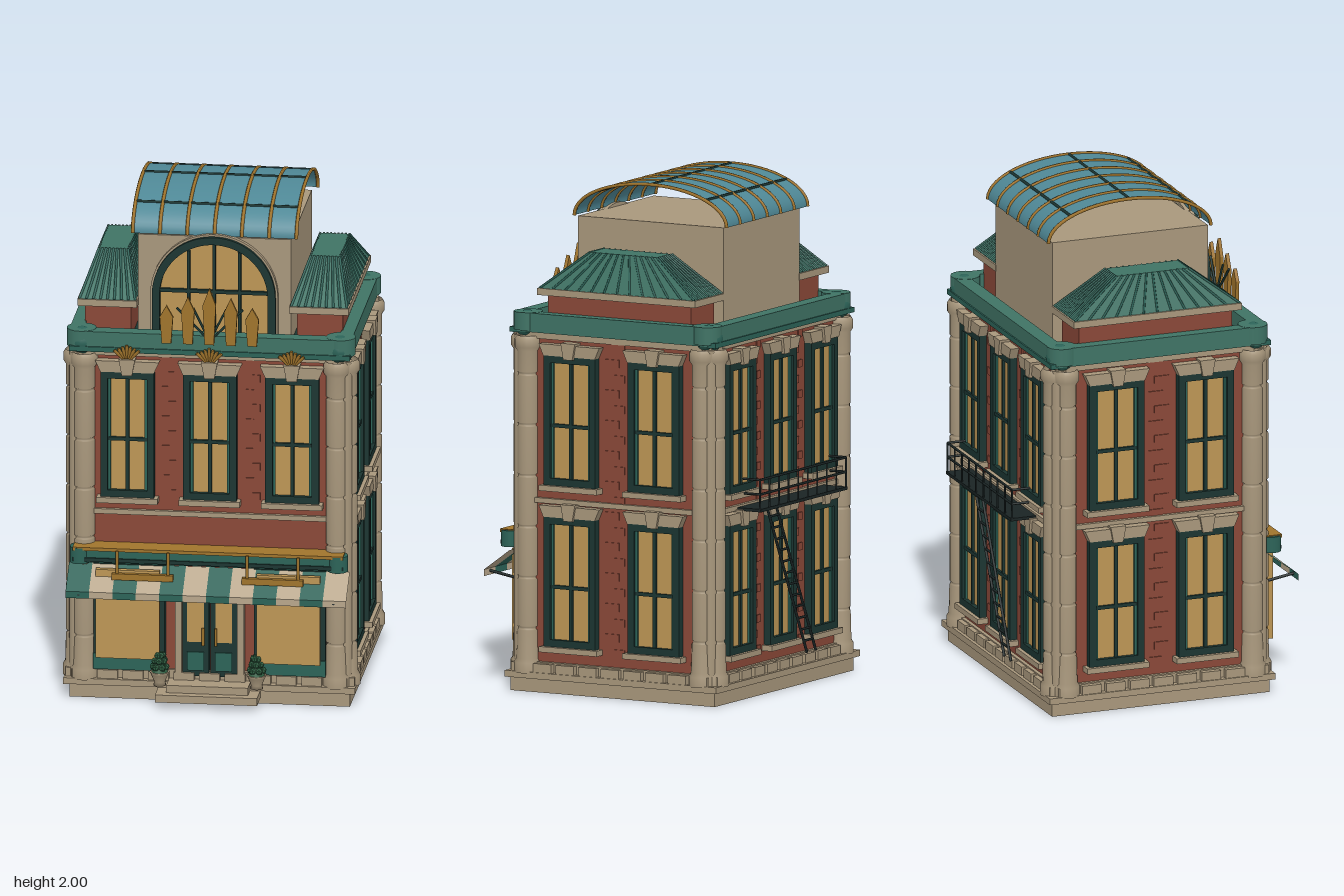
import * as THREE from 'three';

const C = { brick: 0x8a4838, stone: 0xa8977c, gold: 0xa0742c, pane: 0xbd9655, green: 0x2c6358, dark: 0x1b3531,
  roof: 0x3f7365, glass: 0x4f8896, cream: 0xb8a78c, iron: 0x1a2424, leaf: 0x2f5f42 };
const mats = {};
const mat = (c) => (mats[c] ??= new THREE.MeshStandardMaterial({ color: C[c], side: THREE.DoubleSide }));
const V = (x, y, z) => new THREE.Vector3(x, y, z);
const ZC = -0.015; // middle of the building in z

function add(parent, name, geo, color, x = 0, y = 0, z = 0) {
  const m = new THREE.Mesh(geo, mat(color));
  m.name = name;
  m.position.set(x, y, z);
  parent.add(m);
  return m;
}
function group(parent, name, x = 0, y = 0, z = 0, ry = 0) {
  const g = new THREE.Group();
  g.name = name;
  g.position.set(x, y, z);
  g.rotation.y = ry;
  parent.add(g);
  return g;
}
// box given by its limits
const box = (p, name, color, x0, x1, y0, y1, z0, z1) =>
  add(p, name, new THREE.BoxGeometry(x1 - x0, y1 - y0, z1 - z0), color, (x0 + x1) / 2, (y0 + y1) / 2, (z0 + z1) / 2);
// round bar between two points
function bar(p, name, color, a, b, r, sides = 6) {
  const d = b.clone().sub(a);
  const m = add(p, name, new THREE.CylinderGeometry(r, r, d.length(), sides), color);
  m.position.copy(a).add(b).multiplyScalar(0.5);
  m.quaternion.setFromUnitVectors(V(0, 1, 0), d.normalize());
  return m;
}
function extrude(pts, depth) {
  return new THREE.ExtrudeGeometry(new THREE.Shape(pts.map(([x, y]) => new THREE.Vector2(x, y))), { depth, bevelEnabled: false });
}

// sash window with sill, lintel and keystone, facing +z, origin at frame bottom
function sashWindow(p, x, y, z, ry, w) {
  const g = group(p, 'window', x, y, z, ry), h = 0.51, t = 0.028, a = w / 2;
  box(g, 'windowPane', 'pane', -a + t, a - t, t, h - t, 0, 0.012);
  for (const s of [-1, 1]) {
    box(g, 'frameSide', 'dark', s * (a - t / 2) - t / 2, s * (a - t / 2) + t / 2, 0, h, 0, 0.03);
    box(g, 'frameInner', 'green', s * (a - t - 0.006) - 0.005, s * (a - t - 0.006) + 0.005, t, h - t, 0, 0.02);
  }
  for (const yy of [t / 2, h - t / 2]) box(g, 'frameRail', 'dark', -a, a, yy - t / 2, yy + t / 2, 0, 0.03);
  box(g, 'mullion', 'dark', -0.007, 0.007, t, h - t, 0, 0.022);
  box(g, 'meetingRail', 'dark', -a + t, a - t, 0.228, 0.242, 0, 0.022);
  box(g, 'sill', 'stone', -a - 0.015, a + 0.015, -0.022, 0, 0, 0.045);
  add(g, 'lintel', extrude([[-a, h], [a, h], [a + 0.02, h + 0.045], [-a - 0.02, h + 0.045]], 0.035), 'stone');
  add(g, 'keystone', extrude([[-0.02, h - 0.01], [0.02, h - 0.01], [0.032, h + 0.055], [-0.032, h + 0.055]], 0.045), 'stone');
}

// round corner shaft with drum joints, base and capital
function column(p, x, z) {
  const pts = [[0.055, 0.075], [0.055, 0.115], [0.046, 0.13]];
  for (let y = 0.25; y < 1.3; y += 0.2) pts.push([0.043, y - 0.008], [0.038, y - 0.004], [0.038, y + 0.004], [0.043, y + 0.008]);
  pts.push([0.043, 1.34], [0.053, 1.355], [0.053, 1.385], [0.044, 1.4]);
  add(p, 'column', new THREE.LatheGeometry(pts.map(([r, y]) => new THREE.Vector2(r, y)), 16), 'stone', x, 0, z);
}

function buildShell(p) {
  box(p, 'plinth', 'stone', -0.55, 0.55, 0, 0.055, -0.47, 0.44);
  box(p, 'plinthLip', 'stone', -0.572, 0.572, 0.055, 0.08, -0.488, 0.455);
  box(p, 'footing', 'stone', -0.545, 0.545, 0.08, 0.12, -0.455, 0.425);
  for (let i = 0; i < 11; i++) for (const z of [-0.46, 0.43])
    box(p, 'footingBlock', 'stone', -0.54 + i * 0.1, -0.46 + i * 0.1, 0.08, 0.115, z - 0.015, z + 0.015);
  for (let i = 0; i < 9; i++) for (const x of [-0.552, 0.552])
    box(p, 'footingBlock', 'stone', x - 0.015, x + 0.015, 0.08, 0.115, -0.45 + i * 0.1, -0.37 + i * 0.1);
  box(p, 'walls', 'brick', -0.53, 0.53, 0.1, 1.41, -0.44, 0.41);
  // raised bricks in staggered courses
  for (let i = 0; i < 21; i++) {
    const y = 0.16 + i * 0.06, o = (i % 2) * 0.025;
    for (const x of [-0.19, 0.14]) {
      if (y > 0.8) box(p, 'brickCourse', 'brick', x + o, x + o + 0.03, y, y + 0.03, 0.4, 0.415);
      box(p, 'brickCourse', 'brick', x + o, x + o + 0.03, y, y + 0.03, -0.445, -0.43);
    }
    for (const s of [-1, 1]) box(p, 'brickCourse', 'brick', s * 0.53 - 0.005, s * 0.53 + 0.005, y, y + 0.03, -0.06 + o, o);
  }
  box(p, 'beltCourse', 'stone', -0.545, 0.545, 0.745, 0.765, -0.455, 0.425);
  box(p, 'frieze', 'stone', -0.54, 0.54, 1.39, 1.42, -0.45, 0.42);
  for (const sx of [-1, 1]) for (const sz of [-1, 1]) {
    column(p, sx * 0.495, ZC + sz * 0.425);
    column(p, sx * 0.528, ZC + sz * 0.39);
    add(p, 'cornerPier', new THREE.CylinderGeometry(0.03, 0.03, 1.3, 12), 'stone', sx * 0.525, 0.75, ZC + sz * 0.42);
    add(p, 'corniceKnob', new THREE.SphereGeometry(0.055, 16, 10), 'green', sx * 0.505, 1.44, ZC + sz * 0.405);
    add(p, 'corniceCorner', new THREE.CylinderGeometry(0.058, 0.058, 0.07, 16), 'roof', sx * 0.508, 1.456, ZC + sz * 0.4);
  }
  for (const y of [0.185, 0.82]) {
    for (const s of [-1, 1]) for (const z of [0.172, -0.202]) sashWindow(p, s * 0.53, y, z, s * Math.PI / 2, 0.23);
    for (const x of [-0.323, 0, 0.323]) {
      sashWindow(p, x, y, -0.44, Math.PI, 0.21);
      if (y > 0.5) sashWindow(p, x, y, 0.41, 0, 0.21);
    }
  }
  // cornice ring around a sunken roof deck
  for (const s of [-1, 1]) {
    box(p, 'corniceEnd', 'roof', s * 0.527 - 0.027, s * 0.527 + 0.027, 1.415, 1.49, -0.44, 0.41);
    box(p, 'corniceLong', 'roof', -0.52, 0.52, 1.415, 1.49, ZC + s * 0.424 - 0.03, ZC + s * 0.424 + 0.03);
    box(p, 'corniceLip', 'green', -0.55, 0.55, 1.41, 1.43, ZC + s * 0.44 - 0.02, ZC + s * 0.44 + 0.02);
  }
  box(p, 'roofDeck', 'dark', -0.52, 0.52, 1.41, 1.43, -0.43, 0.4);
}

function buildShopFront(p) {
  for (const s of [-1, 1]) {
    const g = group(p, 'shopWindow', s * 0.315);
    box(g, 'shopWindowBase', 'green', -0.14, 0.14, 0.12, 0.185, 0.4, 0.452);
    box(g, 'shopWindowFrame', 'dark', -0.14, 0.14, 0.185, 0.55, 0.4, 0.448);
    box(g, 'shopWindowPane', 'pane', -0.125, 0.125, 0.18, 0.54, 0.475, 0.497);
    box(g, 'lampBar', 'gold', -0.18, 0.06, 0.505, 0.53, 0.495, 0.515).position.x = -s * 0.06;
    for (const x of [-0.1, 0.1]) bar(g, 'lampHanger', 'gold', V(x - s * 0.06, 0.53, 0.505), V(x - s * 0.06, 0.62, 0.505), 0.006);
    // door leaf
    const d = group(p, 'doorLeaf', s * 0.055);
    box(d, 'doorPanel', 'dark', -0.052, 0.052, 0.1, 0.44, 0.41, 0.435);
    box(d, 'doorGlass', 'pane', -0.033, 0.033, 0.24, 0.42, 0.43, 0.438);
    box(d, 'doorKickPanel', 'green', -0.033, 0.033, 0.125, 0.2, 0.43, 0.442);
    bar(d, 'doorHandle', 'gold', V(-s * 0.03, 0.23, 0.448), V(-s * 0.03, 0.3, 0.448), 0.006);
    box(p, 'doorJamb', 'stone', s * 0.122 - 0.013, s * 0.122 + 0.013, 0.1, 0.47, 0.4, 0.445);
    // potted shrub
    const t = group(p, 'pottedShrub', s * 0.19, 0, 0.485);
    const pot = [[0, 0.075], [0.025, 0.075], [0.022, 0.09], [0.034, 0.12], [0.04, 0.13], [0.034, 0.13], [0, 0.125]];
    add(t, 'pot', new THREE.LatheGeometry(pot.map(([r, y]) => new THREE.Vector2(r, y)), 14), 'stone');
    [[0.036, 0.15], [0.029, 0.175], [0.018, 0.197]].forEach(([r, y], k) => {
      for (let i = 0; i < 6; i++) {
        const a = i * Math.PI / 3 + k * 0.5;
        add(t, 'leafTuft', new THREE.IcosahedronGeometry(0.015, 0), 'leaf', Math.cos(a) * r * 0.7, y, Math.sin(a) * r * 0.7);
      }
    });
    add(t, 'shrubCore', new THREE.ConeGeometry(0.034, 0.09, 8), 'leaf', 0, 0.17, 0);
    bar(p, 'awningArm', 'iron', V(s * 0.5, 0.435, 0.44), V(s * 0.5, 0.455, 0.56), 0.006);
  }
  box(p, 'lowerStep', 'stone', -0.2, 0.2, 0.025, 0.055, 0.42, 0.555);
  box(p, 'upperStep', 'stone', -0.16, 0.16, 0.055, 0.085, 0.42, 0.52);
  // striped awning with a short valance
  const slope = Math.hypot(0.085, 0.115), w = 1.1 / 12;
  for (let i = 0; i < 12; i++) {
    const x = -0.55 + (i + 0.5) * w, c = i % 2 ? 'cream' : 'green';
    add(p, 'awningStripe', new THREE.PlaneGeometry(w, slope), c, x, 0.5075, 0.5025).rotation.x = -Math.atan2(0.115, 0.085);
    add(p, 'awningValance', new THREE.PlaneGeometry(w, 0.027), c, x, 0.4525, 0.56);
  }
  // fascia with a gilded top
  box(p, 'fascia', 'green', -0.52, 0.52, 0.565, 0.615, 0.41, 0.49);
  box(p, 'fasciaTop', 'gold', -0.53, 0.53, 0.615, 0.628, 0.41, 0.5);
  box(p, 'fasciaMoulding', 'dark', -0.53, 0.53, 0.57, 0.585, 0.41, 0.497);
  for (const s of [-1, 1]) add(p, 'fasciaEnd', new THREE.CylinderGeometry(0.04, 0.04, 0.064, 16), 'green', s * 0.505, 0.592, 0.463);
}

function archShape(a, y0, ys) {
  const s = new THREE.Shape();
  s.moveTo(-a, y0).lineTo(a, y0).lineTo(a, ys).absarc(0, ys, a, 0, Math.PI, false).lineTo(-a, y0);
  return s;
}
function arch(p, name, color, a, b, z, depth) {
  const s = archShape(a, 1.43, 1.61);
  if (b) s.holes.push(archShape(b, 1.44, 1.61));
  add(p, name, new THREE.ExtrudeGeometry(s, { depth, bevelEnabled: false, curveSegments: 24 }), color, 0, 0, z);
}

function buildRoof(p) {
  box(p, 'atticBlock', 'stone', -0.3, 0.3, 1.42, 1.845, -0.37, 0.28);
  arch(p, 'archSurround', 'stone', 0.25, 0.235, 0.27, 0.03);
  arch(p, 'archFrame', 'dark', 0.242, 0.212, 0.27, 0.045);
  arch(p, 'archPane', 'pane', 0.22, 0, 0.27, 0.02);
  for (const [x, top] of [[-0.1, 1.79], [0, 1.82], [0.1, 1.79]]) box(p, 'archMullion', 'dark', x - 0.006, x + 0.006, 1.43, top, 0.28, 0.303);
  box(p, 'archTransom', 'dark', -0.22, 0.22, 1.62, 1.634, 0.28, 0.303);
  // curved glass vault with ribs and purlins
  const vz = -0.055, at = (t) => V(0, 1.85 + 0.145 * Math.sin(t), vz + 0.34 * Math.cos(t));
  const vault = new THREE.CylinderGeometry(1, 1, 0.64, 32, 1, true, 0, Math.PI);
  vault.rotateZ(Math.PI / 2).scale(1, 0.145, 0.34);
  add(p, 'glassVault', vault, 'glass', 0, 1.85, vz);
  const rib = new THREE.CatmullRomCurve3(Array.from({ length: 25 }, (_, i) => at(i * Math.PI / 24)));
  for (let i = -3; i <= 3; i++) add(p, 'vaultRib', new THREE.TubeGeometry(rib, 40, 0.007, 6), 'gold', i * 0.107);
  for (const z of [-0.3, -0.055, 0.19]) {
    const q = at(Math.acos((z - vz) / 0.34));
    bar(p, 'vaultPurlin', 'dark', q.clone().setX(-0.32), q.clone().setX(0.32), 0.006);
  }
  // side pavilions with ribbed hipped roofs
  for (const s of [-1, 1]) {
    const g = group(p, 'pavilion', s * 0.415, 0, -0.02);
    box(g, 'pavilionWall', 'brick', -0.09, 0.09, 1.42, 1.56, -0.32, 0.32);
    box(g, 'pavilionEave', 'stone', -0.117, 0.117, 1.56, 1.587, -0.352, 0.352);
    const hip = new THREE.BoxGeometry(0.22, 0.148, 0.69), q = hip.attributes.position;
    for (let i = 0; i < q.count; i++) if (q.getY(i) > 0) q.setXYZ(i, q.getX(i) * 0.52, q.getY(i), q.getZ(i) * 0.435);
    hip.computeVertexNormals();
    add(g, 'hippedRoof', hip, 'roof', 0, 1.661, 0);
    for (const e of [-1, 1]) {
      for (let i = 0; i <= 8; i++) {
        const k = i / 4 - 1;
        bar(g, 'roofRib', 'green', V(k * 0.11, 1.587, e * 0.345), V(k * 0.057, 1.735, e * 0.15), 0.005, 5);
      }
      for (let i = 1; i < 12; i++) {
        const k = i / 6 - 1;
        bar(g, 'roofRib', 'green', V(e * 0.11, 1.587, k * 0.345), V(e * 0.057, 1.735, k * 0.15), 0.005, 5);
      }
    }
  }
  // gilded crest of pointed blades, with fan stays
  for (let i = -2; i <= 2; i++) {
    const h = 0.23 - Math.abs(i) * 0.038;
    const blade = [[-0.018, 0], [0.018, 0], [0.026, h * 0.7], [0, h], [-0.026, h * 0.7]];
    add(p, 'crestBlade', extrude(blade, 0.014), 'gold', i * 0.084, 1.458, 0.44);
    if (i) bar(p, 'crestStay', 'dark', V(0, 1.47, 0.436), V(i * 0.065, 1.6, 0.436), 0.005);
  }
  for (const x of [-0.323, 0, 0.323]) for (let i = -3; i <= 3; i++)
    bar(p, 'keystonePlume', 'gold', V(x + i * 0.005, 1.39, 0.45), V(x + i * 0.016, 1.445 - Math.abs(i) * 0.007, 0.458), 0.007, 5);
}

function buildFireEscape(p) {
  const g = group(p, 'fireEscape');
  box(g, 'platform', 'iron', -0.342, 0.342, 0.745, 0.757, -0.56, -0.44);
  for (const y of [0.815, 0.872]) {
    bar(g, 'handrail', 'iron', V(-0.34, y, -0.555), V(0.34, y, -0.555), 0.005);
    for (const s of [-1, 1]) bar(g, 'handrailReturn', 'iron', V(s * 0.34, y, -0.555), V(s * 0.34, y, -0.48), 0.005);
  }
  for (let i = 0; i < 10; i++) bar(g, 'railPost', 'iron', V(-0.34 + i * 0.0756, 0.75, -0.555), V(-0.34 + i * 0.0756, 0.872, -0.555), 0.004);
  // slanted ladder
  const top = V(0.16, 0.75, -0.502), foot = V(-0.16, 0.13, -0.502), off = V(0.035, 0, 0);
  for (const s of [-1, 1])
    bar(g, 'ladderRail', 'iron', top.clone().addScaledVector(off, s), foot.clone().addScaledVector(off, s), 0.006);
  for (let i = 1; i < 13; i++) {
    const m = top.clone().lerp(foot, i / 13);
    bar(g, 'ladderRung', 'iron', m.clone().add(off), m.clone().sub(off), 0.005);
  }
}

export function createModel() {
  const root = new THREE.Group();
  root.name = 'townBuilding';
  buildShell(group(root, 'shell'));
  buildShopFront(group(root, 'shopFront'));
  buildRoof(group(root, 'roof'));
  buildFireEscape(root);
  return root;
}
